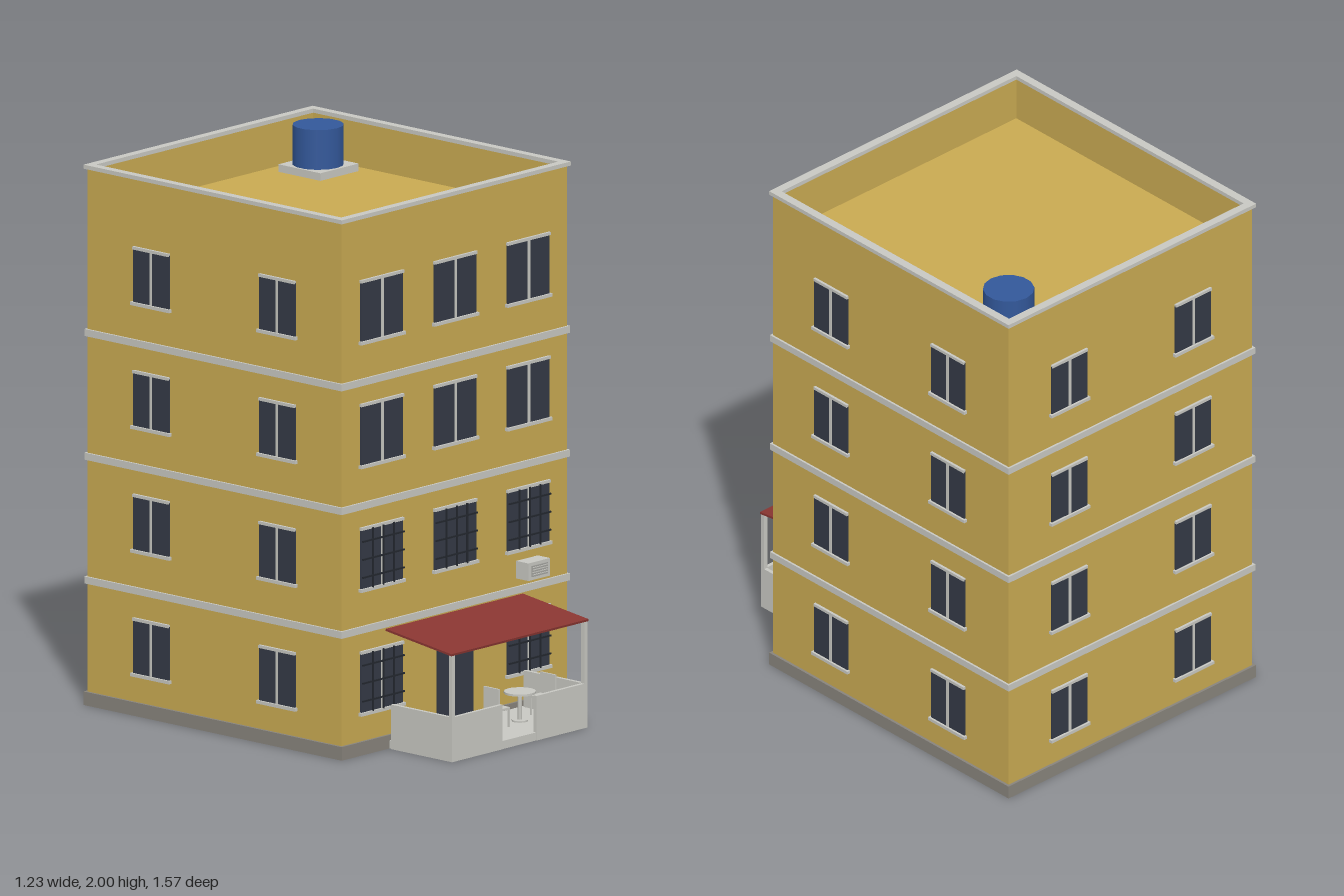
import * as THREE from 'three';

const mat = (name, color) => Object.assign(new THREE.MeshStandardMaterial({ color }), { name });

export function createModel() {
  const wall = mat('ochre wall', 0xc9aa52);
  const trim = mat('pale concrete', 0xc8c8c2);
  const base = mat('grey plinth', 0x88847c);
  const glass = mat('dark glass', 0x343a46);
  const iron = mat('dark iron', 0x23272e);
  const red = mat('red awning', 0x8a3632);
  const blue = mat('blue tank', 0x33589a);
  const vent = mat('vent grey', 0xa3a39e);

  const root = new THREE.Group();
  root.name = 'apartmentBlock';
  const CZ = -0.155, HX = 0.6, HZ = 0.62; // block centre and half sizes
  const FLOOR = 0.458;

  const add = (parent, name, geo, m, x = 0, y = 0, z = 0) => {
    const mesh = new THREE.Mesh(geo, m);
    mesh.name = name;
    mesh.position.set(x, y, z);
    parent.add(mesh);
    return mesh;
  };
  // box given by its minimum and maximum corners
  const box = (parent, name, m, x0, x1, y0, y1, z0, z1) =>
    add(parent, name, new THREE.BoxGeometry(x1 - x0, y1 - y0, z1 - z0), m,
      (x0 + x1) / 2, (y0 + y1) / 2, (z0 + z1) / 2);
  const group = (name, parent = root) => {
    const g = new THREE.Group();
    g.name = name;
    parent.add(g);
    return g;
  };
  // rectangular ring around the block, grown outwards by o and inwards by i
  const ring = (name, m, o, i, y0, y1) => {
    const rect = (T, hx, hz) => {
      const s = new T();
      s.moveTo(-hx, -hz); s.lineTo(hx, -hz); s.lineTo(hx, hz); s.lineTo(-hx, hz);
      s.closePath();
      return s;
    };
    const shape = rect(THREE.Shape, HX + o, HZ + o);
    shape.holes.push(rect(THREE.Path, HX - i, HZ - i));
    const geo = new THREE.ExtrudeGeometry(shape, { depth: y1 - y0, bevelEnabled: false });
    geo.rotateX(-Math.PI / 2);
    return add(root, name, geo, m, 0, y0, CZ);
  };

  // Block, parapet and horizontal trim
  box(root, 'walls', wall, -HX, HX, 0, 1.82, CZ - HZ, CZ + HZ);
  ring('parapet', wall, 0, 0.02, 1.82, 1.987);
  ring('coping', trim, 0.01, 0.022, 1.985, 2);
  ring('plinth', base, 0.01, 0.005, 0, 0.05);
  for (let i = 1; i < 4; i++) ring('floorBand', trim, 0.008, 0.005, i * FLOOR - 0.008, i * FLOOR + 0.018);

  // Window facing +z, with its bottom centre at the origin
  const makeWindow = (parent, w, h, { mullion = true, grille = false, lintel = 0 } = {}) => {
    const g = group('window', parent);
    box(g, 'pane', glass, -w / 2, w / 2, 0, h, -0.002, 0.006);
    box(g, 'sill', trim, -w / 2 - 0.008, w / 2 + 0.008, -0.01, 0.002, -0.002, 0.014);
    box(g, 'lintel', trim, -w / 2 - lintel, w / 2 + lintel, h - 0.004, h + 0.007, -0.002, 0.01);
    if (mullion) box(g, 'mullion', trim, -0.006, 0.006, 0, h, 0, 0.008);
    if (grille) {
      for (const t of [-0.25, 0, 0.25]) box(g, 'grilleBar', iron, t * w - 0.003, t * w + 0.003, 0, h, 0.01, 0.015);
      for (const t of [0.2, 0.5, 0.8]) box(g, 'grilleRail', iron, -w / 2, w / 2, t * h - 0.003, t * h + 0.003, 0.01, 0.015);
    }
    return g;
  };

  for (let f = 0; f < 4; f++) {
    const y = 0.155 + f * FLOOR;
    // front
    for (const x of [-0.39, 0, 0.39]) {
      if (f === 0 && x === 0) continue;
      const win = makeWindow(root, 0.222, 0.222,
        { grille: f < 2, mullion: !(f === 1 && x === 0), lintel: 0.003 });
      win.position.set(x, y, CZ + HZ);
    }
    // back
    for (const x of [-0.305, 0.305]) {
      const win = makeWindow(root, 0.175, 0.2);
      win.position.set(x, y, CZ - HZ);
      win.rotation.y = Math.PI;
    }
    // both sides
    for (const s of [-1, 1]) for (const z of [0.155, -0.46]) {
      const win = makeWindow(root, 0.175, 0.2);
      win.position.set(s * HX, y, z);
      win.rotation.y = s * Math.PI / 2;
    }
  }

  // Entrance door
  const ZF = CZ + HZ;
  box(root, 'door', glass, -0.095, 0.095, 0.05, 0.377, ZF - 0.002, ZF + 0.008);

  // Porch: slab, low walls, posts and sloping awning
  const porch = group('porch');
  box(porch, 'porchFloor', trim, -0.355, 0.355, 0, 0.03, ZF + 0.01, 0.782);
  for (const s of [-1, 1]) {
    const a = s * 0.09, b = s * 0.36;
    box(porch, 'frontWall', trim, Math.min(a, b), Math.max(a, b), 0, 0.165, 0.77, 0.784);
    box(porch, 'sideWall', trim, s * 0.353 - 0.007, s * 0.353 + 0.007, 0, 0.165, 0.485, 0.77);
    box(porch, 'post', trim, s * 0.352 - 0.008, s * 0.352 + 0.008, 0.165, 0.394, 0.768, 0.784);
  }
  const rise = 0.042, run = 0.785 - ZF;
  const awning = add(porch, 'awning', new THREE.BoxGeometry(0.73, 0.008, Math.hypot(rise, run)), red,
    0, 0.418, (0.785 + ZF) / 2);
  awning.rotation.x = Math.atan2(rise, run);

  // Round table with two facing chairs
  const TX = 0.18, TZ = 0.62;
  const table = group('table', porch);
  add(table, 'tableTop', new THREE.CylinderGeometry(0.058, 0.058, 0.008, 16), trim, TX, 0.137, TZ);
  add(table, 'tableLeg', new THREE.CylinderGeometry(0.008, 0.008, 0.105, 8), trim, TX, 0.082, TZ);
  add(table, 'tableFoot', new THREE.CylinderGeometry(0.03, 0.03, 0.006, 12), trim, TX, 0.033, TZ);
  for (const s of [-1, 1]) {
    const chair = group('chair', porch);
    chair.position.set(TX + s * 0.12, 0.03, TZ);
    if (s > 0) chair.rotation.y = Math.PI;
    box(chair, 'seat', trim, -0.03, 0.03, 0.065, 0.073, -0.035, 0.035);
    box(chair, 'chairBack', trim, -0.034, -0.027, 0.065, 0.15, -0.037, 0.037);
    for (const x of [-0.027, 0.027]) for (const z of [-0.031, 0.031])
      box(chair, 'chairLeg', trim, x - 0.003, x + 0.003, 0, 0.066, z - 0.003, z + 0.003);
  }

  // Air conditioner above the right-hand bay
  const ac = group('airConditioner');
  box(ac, 'casing', trim, 0.33, 0.445, 0.505, 0.57, ZF - 0.002, 0.525);
  box(ac, 'ventPanel', vent, 0.345, 0.43, 0.517, 0.558, 0.523, 0.528);
  for (let i = 0; i < 4; i++)
    box(ac, 'ventSlat', trim, 0.348, 0.427, 0.523 + i * 0.009, 0.526 + i * 0.009, 0.526, 0.53);

  // Water tank on the roof
  const tank = group('waterTank');
  box(tank, 'tankBase', trim, 0.33, 0.533, 1.81, 1.848, -0.695, -0.49);
  add(tank, 'tankBody', new THREE.CylinderGeometry(0.093, 0.093, 0.147, 14), blue, 0.431, 1.9215, -0.594);

  return root;
}
